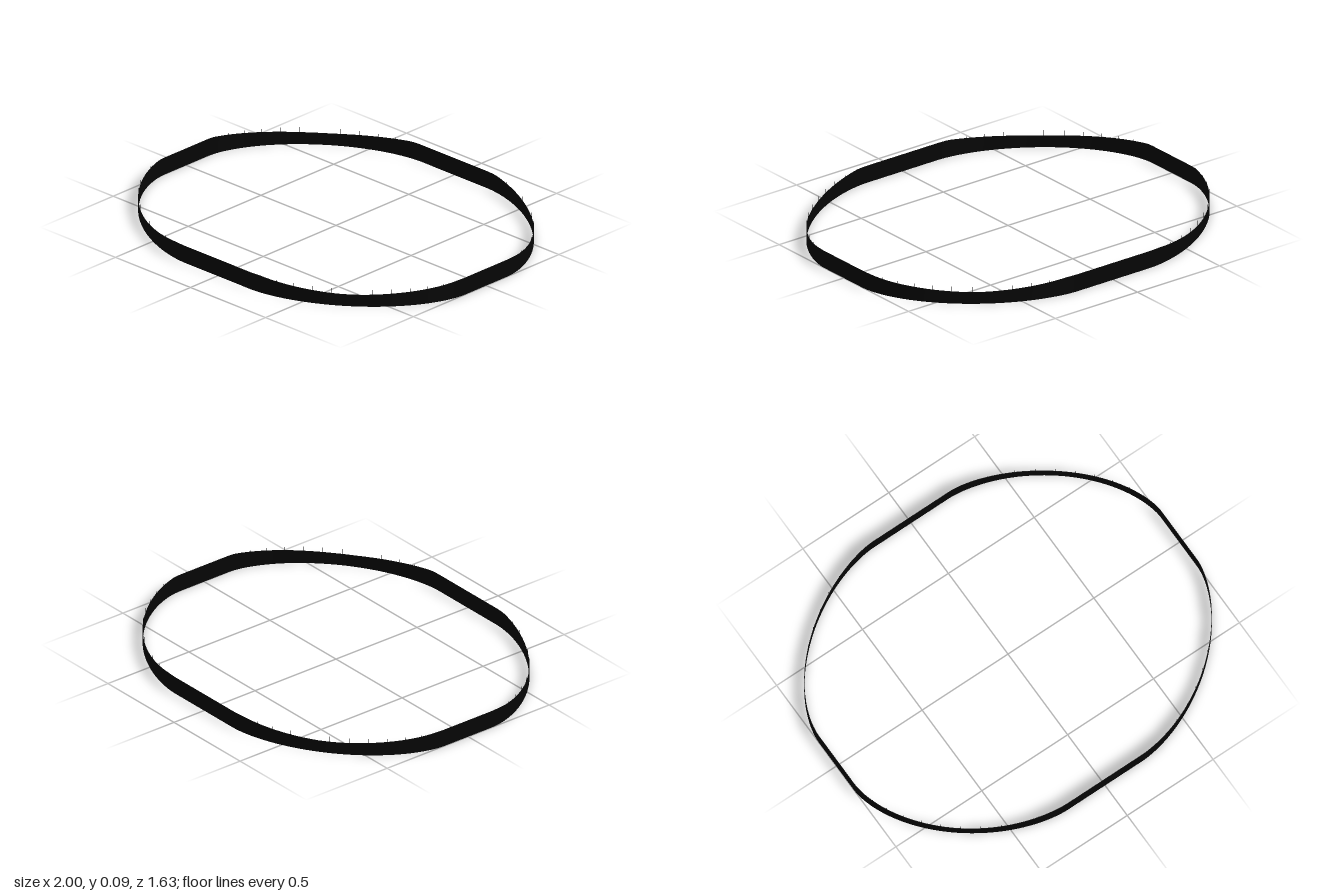
import * as THREE from 'three';
import { toCreasedNormals } from 'three/addons/utils/BufferGeometryUtils.js';

const HALF_X = 1, HALF_Z = 0.814;       // outer half sizes
const FLAT_X = 0.22, FLAT_Z = 0.15;     // half lengths of the straight runs
const HIGH = 0.088, LOW = 0.061;        // band height at the sides and at the corners
const WALL = 0.002, STEPS = 40;
const POWER = 2 / 1.7;                  // corners a little flatter than an ellipse

// Band height along one corner: high at both ends, dipping in the middle.
function bandHeight(t) {
  const rise = Math.max((0.8 - t) / 0.72, (t - 0.9) / 0.56, 0);
  return LOW + (HIGH - LOW) * Math.min(rise, 1) ** 1.3;
}

// Point on the outline at corner angle t, mirrored by signs, pulled in by inset.
function outline(t, sx, sz, inset) {
  const c = Math.max(Math.cos(t), 0) ** POWER, s = Math.sin(t) ** POWER;
  return [
    sx * (FLAT_X + (HALF_X - FLAT_X - inset) * c),
    sz * (FLAT_Z + (HALF_Z - FLAT_Z - inset) * s),
  ];
}

const CORNERS = [[1, 1], [-1, 1], [-1, -1], [1, -1]];

// Thin closed wall swept around the four rounded corners.
function bandGeometry() {
  const positions = [], index = [];
  CORNERS.forEach(([sx, sz]) => {
    for (let i = 0; i <= STEPS; i++) {
      const f = i / STEPS;
      const t = (sx * sz > 0 ? f : 1 - f) * Math.PI / 2;
      const h = bandHeight(t);
      const [ox, oz] = outline(t, sx, sz, 0);
      const [ix, iz] = outline(t, sx, sz, WALL);
      positions.push(ox, 0, oz, ox, h, oz, ix, h, iz, ix, 0, iz);
    }
  });
  const count = positions.length / 12;
  for (let i = 0; i < count; i++) {
    const n = (i + 1) % count;
    for (let k = 0; k < 4; k++) {
      const m = (k + 1) % 4;
      const a = i * 4 + k, b = n * 4 + k, c = i * 4 + m, d = n * 4 + m;
      index.push(a, c, b, b, c, d);
    }
  }
  const geometry = new THREE.BufferGeometry();
  geometry.setAttribute('position', new THREE.Float32BufferAttribute(positions, 3));
  geometry.setIndex(index);
  return toCreasedNormals(geometry, 0.6);
}

export function createModel() {
  const model = new THREE.Group();
  const material = new THREE.MeshStandardMaterial({ color: 0x050505 });

  const band = new THREE.Mesh(bandGeometry(), material);
  band.name = 'band';
  model.add(band);

  // Fine upright pins along the lowered top edge of each corner
  const pins = new THREE.Group();
  pins.name = 'edgePins';
  const pinGeometry = new THREE.BoxGeometry(0.0015, 1, 0.0015);
  for (const [sx, sz] of CORNERS) {
    for (let i = 0; i < 10; i++) {
      const t = 0.233 + 0.121 * i;
      const base = bandHeight(t) - 0.005;
      const [x, z] = outline(t, sx, sz, WALL / 2);
      const pin = new THREE.Mesh(pinGeometry, material);
      pin.name = 'edgePin';
      pin.scale.y = HIGH - base;
      pin.position.set(x, (HIGH + base) / 2, z);
      pins.add(pin);
    }
  }
  model.add(pins);
  return model;
}
